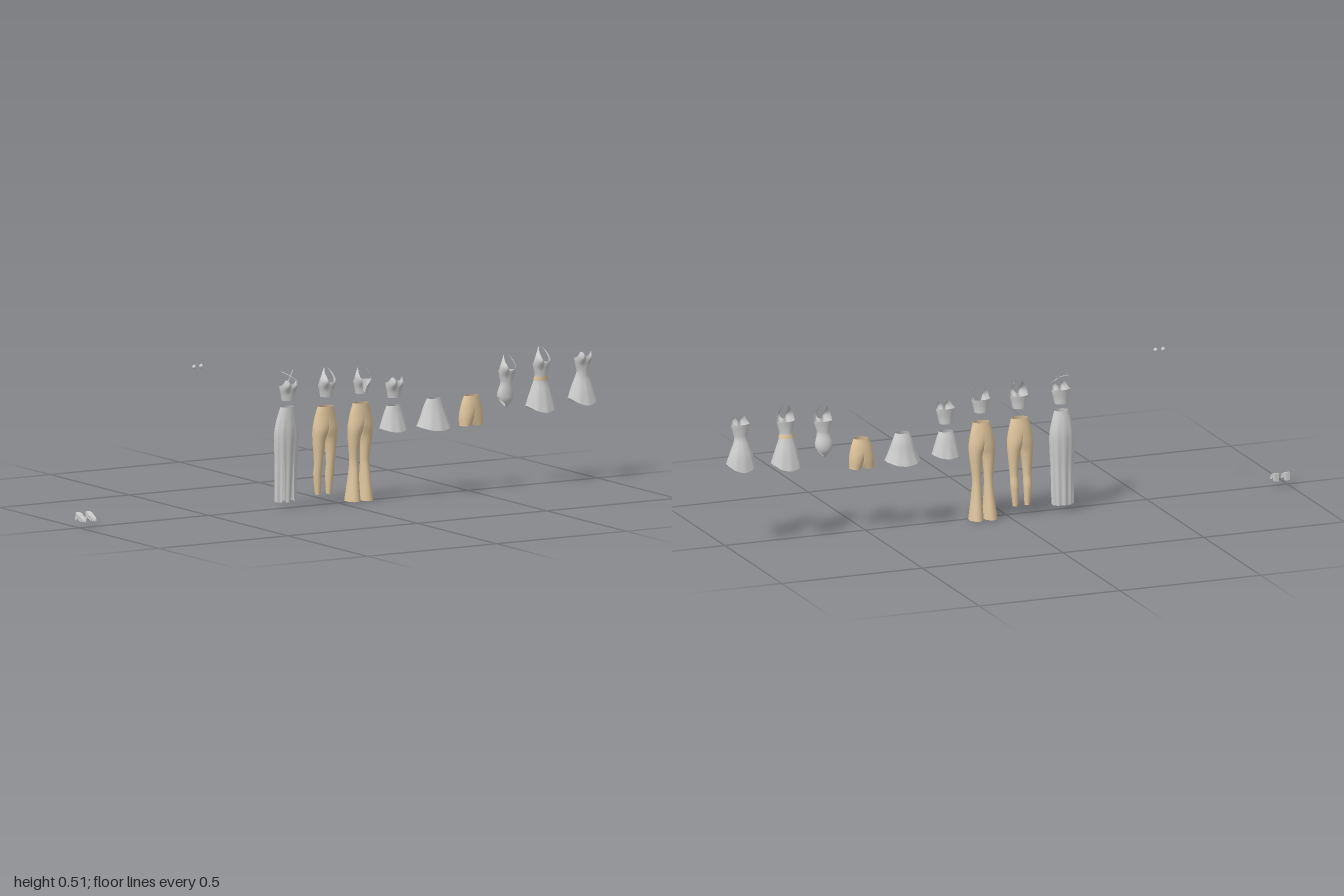
import * as THREE from 'three';

const grey = new THREE.MeshStandardMaterial({ color: 0xcccccc, side: THREE.DoubleSide });
const tan = new THREE.MeshStandardMaterial({ color: 0xdec49c, side: THREE.DoubleSide });

// Smoothly interpolates rings [y, rx, rz, cz, cx], listed from top to bottom
function ringAt(rings, y) {
  let i = 0;
  while (i < rings.length - 2 && y < rings[i + 1][0]) i++;
  const a = rings[i], b = rings[i + 1];
  const p = rings[Math.max(i - 1, 0)], q = rings[Math.min(i + 2, rings.length - 1)];
  const h = b[0] - a[0], t = THREE.MathUtils.clamp((y - a[0]) / h, 0, 1);
  return [1, 2, 3, 4].map((k) => {
    const m0 = ((b[k] ?? 0) - (p[k] ?? 0)) / (b[0] - p[0]) * h;
    const m1 = ((q[k] ?? 0) - (a[k] ?? 0)) / (q[0] - a[0]) * h;
    const s = t * t, c = s * t;
    return (2 * c - 3 * s + 1) * (a[k] ?? 0) + (c - 2 * s + t) * m0
      + (3 * s - 2 * c) * (b[k] ?? 0) + (c - s) * m1;
  });
}

// Open cloth surface; top and hem are heights or functions of the angle (0 = front)
function cloth(name, rings, { top = rings[0][0], hem = rings.at(-1)[0], bust, folds = 0, half = false,
  material = grey, n = 64, rows = 24 } = {}) {
  const at = (f, a) => (typeof f === 'function' ? f(a) : f);
  const pos = [], raw = [], index = [];
  for (let j = 0; j <= rows; j++) for (let i = 0; i < n; i++) {
    const a = (i < n / 2 ? i : i - n) / n * Math.PI * 2;
    const y = THREE.MathUtils.lerp(at(top, a), at(hem, a), j / rows);
    const [rx, rz, cz, cx] = ringAt(rings, y);
    const ripple = 1 + folds * (j / rows) * Math.cos(a * 10);
    const x = cx + rx * Math.sin(a) * ripple;
    let z = cz + rz * Math.cos(a) * ripple;
    if (bust && Math.cos(a) > 0) {
      z += 0.017 * Math.sqrt(Math.cos(a)) * Math.exp(-(((Math.abs(x) - 0.016) / 0.012) ** 2) - ((y - bust) / 0.018) ** 2);
    }
    raw.push(x);
    pos.push(half ? Math.max(0, x) : x, y, z);
  }
  for (let j = 0; j < rows; j++) for (let i = 0; i < n; i++) {
    const k = (i + 1) % n, a = j * n + i, b = j * n + k, c = a + n, d = b + n;
    if (half && [a, b, c, d].every((v) => raw[v] <= 0)) continue;
    index.push(a, c, b, b, c, d);
  }
  const g = new THREE.BufferGeometry();
  g.setAttribute('position', new THREE.Float32BufferAttribute(pos, 3));
  g.setIndex(index);
  g.computeVertexNormals();
  const mesh = new THREE.Mesh(g, material);
  mesh.name = name;
  return mesh;
}

// Two mirrored trouser halves that meet on the centre line above the crotch
function trousers(name, rings) {
  const group = new THREE.Group();
  group.name = name;
  for (const side of [1, -1]) {
    const leg = cloth(side > 0 ? 'leftLeg' : 'rightLeg', rings, { half: true, material: tan, n: 40, rows: 32 });
    leg.scale.x = side;
    group.add(leg);
  }
  return group;
}

// Neckline with two peaks at the angles +-at
const peaks = (base, peak, at, width) => (a) =>
  base + (peak - base) * Math.exp(-(((Math.abs(a) - at) / width) ** 2));
// Hem that rises at the sides
const curved = (low, rise) => (a) => low + rise * Math.sin(a) ** 2;

const chest = [
  [0.47, 0.006, 0.003, -0.002], [0.46, 0.011, 0.006, -0.003], [0.445, 0.023, 0.014, 0.001],
  [0.425, 0.032, 0.020, 0.004], [0.405, 0.031, 0.019, 0.005], [0.385, 0.026, 0.018, 0.005],
  [0.365, 0.022, 0.018, 0.004],
];
const strapless = chest.slice(3);
strapless.unshift([0.445, 0.033, 0.020, 0.003]);
const lower = (rings, dy) => rings.map(([y, ...r]) => [y + dy, ...r]);

function shoe() {
  // Side profile: pointed toe, low instep, raised heel
  const s = new THREE.Shape();
  s.moveTo(0.022, 0.027);
  s.quadraticCurveTo(0.020, 0.037, 0.004, 0.040);
  s.quadraticCurveTo(-0.012, 0.052, -0.026, 0.052);
  s.lineTo(-0.028, 0.027);
  s.lineTo(-0.020, 0.027);
  s.lineTo(-0.017, 0.036);
  s.quadraticCurveTo(-0.004, 0.028, 0.004, 0.027);
  const g = new THREE.ExtrudeGeometry(s, { depth: 0.012, bevelSize: 0.001, bevelThickness: 0.003, bevelSegments: 2 });
  g.translate(0, 0, -0.006);
  g.rotateY(-Math.PI / 2);
  // Narrow the toe
  const p = g.attributes.position;
  for (let i = 0; i < p.count; i++) {
    const z = p.getZ(i);
    p.setX(i, p.getX(i) * (z > 0.008 ? 1 - (z - 0.008) * 35 : 1));
  }
  g.computeVertexNormals();
  const m = new THREE.Mesh(g, grey);
  m.name = 'shoe';
  return m;
}

function earring() {
  const group = new THREE.Group();
  group.name = 'earring';
  const bead = new THREE.Mesh(new THREE.SphereGeometry(0.007, 16, 12), grey);
  bead.name = 'bead';
  const hook = new THREE.Mesh(new THREE.TorusGeometry(0.003, 0.0008, 6, 14), grey);
  hook.name = 'hook';
  hook.rotation.y = Math.PI / 2;
  hook.position.set(0, 0.006, 0.003);
  group.add(bead, hook);
  return group;
}

export function createModel() {
  const model = new THREE.Group();
  model.name = 'wardrobe';
  const outfit = (name, x, ...parts) => {
    const g = new THREE.Group();
    g.name = name;
    g.position.x = x;
    g.add(...parts);
    model.add(g);
  };

  // Accessories
  for (const x of [-0.99, -0.951]) outfit('shoePlace', x, shoe());
  for (const x of [-0.565, -0.538]) {
    const e = earring();
    e.position.set(0, 0.508, 0.015);
    outfit('earringPlace', x, e);
  }

  // Crossed-strap top with long slit skirt
  const straps = [1, -1].map((s) => {
    const path = new THREE.CatmullRomCurve3([
      new THREE.Vector3(s * 0.020, 0.428, 0.034), new THREE.Vector3(0, 0.447, 0.022 + s * 0.001),
      new THREE.Vector3(-s * 0.023, 0.461, -0.003)]);
    const m = new THREE.Mesh(new THREE.TubeGeometry(path, 12, 0.0015, 6), grey);
    m.name = 'strap';
    return m;
  });
  outfit('eveningSet', -0.197,
    cloth('bandeau', strapless, { top: peaks(0.414, 0.435, 0.6, 0.45), bust: 0.418 }), ...straps,
    cloth('longSkirt', [[0.343, 0.024, 0.019, 0.001], [0.30, 0.036, 0.025, -0.003], [0.255, 0.043, 0.028, -0.005],
      [0.15, 0.039, 0.024, -0.008], [0.025, 0.036, 0.022, -0.012]],
    { folds: 0.09, rows: 40, n: 80, hem: (a) => 0.025 + 0.15 * Math.exp(-(((Math.abs(a) - 0.47) / 0.07) ** 2)) }));

  // Halter top with slim trousers
  const seat = [[0.333, 0.029, 0.020, 0], [0.295, 0.038, 0.025, -0.003, 0.001], [0.255, 0.031, 0.027, -0.004, 0.014],
    [0.222, 0.022, 0.023, -0.006, 0.022]];
  outfit('halterSet', -0.048,
    cloth('halterTop', chest, { top: peaks(0.408, 0.464, 0.79, 0.42), bust: 0.418 }),
    trousers('slimTrousers', [...seat, [0.14, 0.014, 0.016, -0.009, 0.023], [0.105, 0.014, 0.016, -0.014, 0.023],
      [0.037, 0.009, 0.010, -0.016, 0.021]]));

  // Open-front top with flared trousers
  outfit('flaredSet', 0.088,
    cloth('openTop', chest, {
      top: (a) => Math.max(0.366, peaks(0.410, 0.452, 0.98, 0.28)(a) - 0.044 * Math.exp(-((a / 0.35) ** 2))), bust: 0.414 }),
    trousers('flaredTrousers', [...seat, [0.14, 0.015, 0.017, -0.011, 0.021], [0.09, 0.017, 0.022, -0.012, 0.022],
      [0.005, 0.024, 0.034, -0.014, 0.0245]]));

  // Bandeau with short skirt
  outfit('shortSkirtSet', 0.213,
    cloth('bandeau', lower(strapless, -0.025), { top: peaks(0.392, 0.411, 0.6, 0.45), bust: 0.392 }),
    cloth('shortSkirt', [[0.314, 0.024, 0.018, 0.002], [0.29, 0.033, 0.025, 0], [0.228, 0.051, 0.042, 0]],
      { hem: curved(0.228, 0.010), folds: 0.02 }));

  // Flared skirt
  outfit('flaredSkirtSet', 0.368,
    cloth('flaredSkirt', [[0.325, 0.024, 0.018, 0.002], [0.295, 0.036, 0.028, 0], [0.26, 0.048, 0.038, 0.001],
      [0.222, 0.064, 0.050, 0.001]], { hem: curved(0.221, 0.012), folds: 0.02 }));

  // Shorts
  outfit('shortsSet', 0.515,
    trousers('shorts', [[0.322, 0.026, 0.020, 0], [0.29, 0.036, 0.025, -0.002, 0.001], [0.255, 0.029, 0.026, -0.003, 0.014],
      [0.222, 0.0195, 0.023, -0.003, 0.023]]));

  // Bodysuit cut high at the legs
  outfit('bodysuitSet', 0.648,
    cloth('bodysuit', [...lower(chest, -0.013), [0.318, 0.030, 0.023, -0.001], [0.295, 0.026, 0.021, -0.002],
      [0.272, 0.007, 0.007, -0.002]],
    { top: peaks(0.395, 0.447, 0.85, 0.36), hem: curved(0.272, 0.035), bust: 0.405, rows: 40 }));

  // Halter dress with a waistband
  outfit('halterDressSet', 0.781,
    cloth('halterDress', [...chest, [0.345, 0.026, 0.021, 0.001], [0.31, 0.038, 0.031, 0], [0.248, 0.057, 0.046, 0]],
      { top: peaks(0.408, 0.464, 0.79, 0.40), hem: curved(0.247, 0.020), bust: 0.418, folds: 0.02, rows: 40 }),
    cloth('waistband', [[0.364, 0.0235, 0.0192, 0.004], [0.352, 0.0255, 0.0208, 0.002]], { material: tan, rows: 4 }));

  // Strapless dress
  outfit('straplessDressSet', 0.942,
    cloth('straplessDress', [...strapless, [0.345, 0.027, 0.022, 0.001], [0.31, 0.040, 0.032, 0], [0.258, 0.057, 0.043, 0.002]],
      { top: peaks(0.414, 0.436, 0.6, 0.45), hem: curved(0.258, 0.022), bust: 0.418, folds: 0.015, rows: 40 }));

  return model;
}
